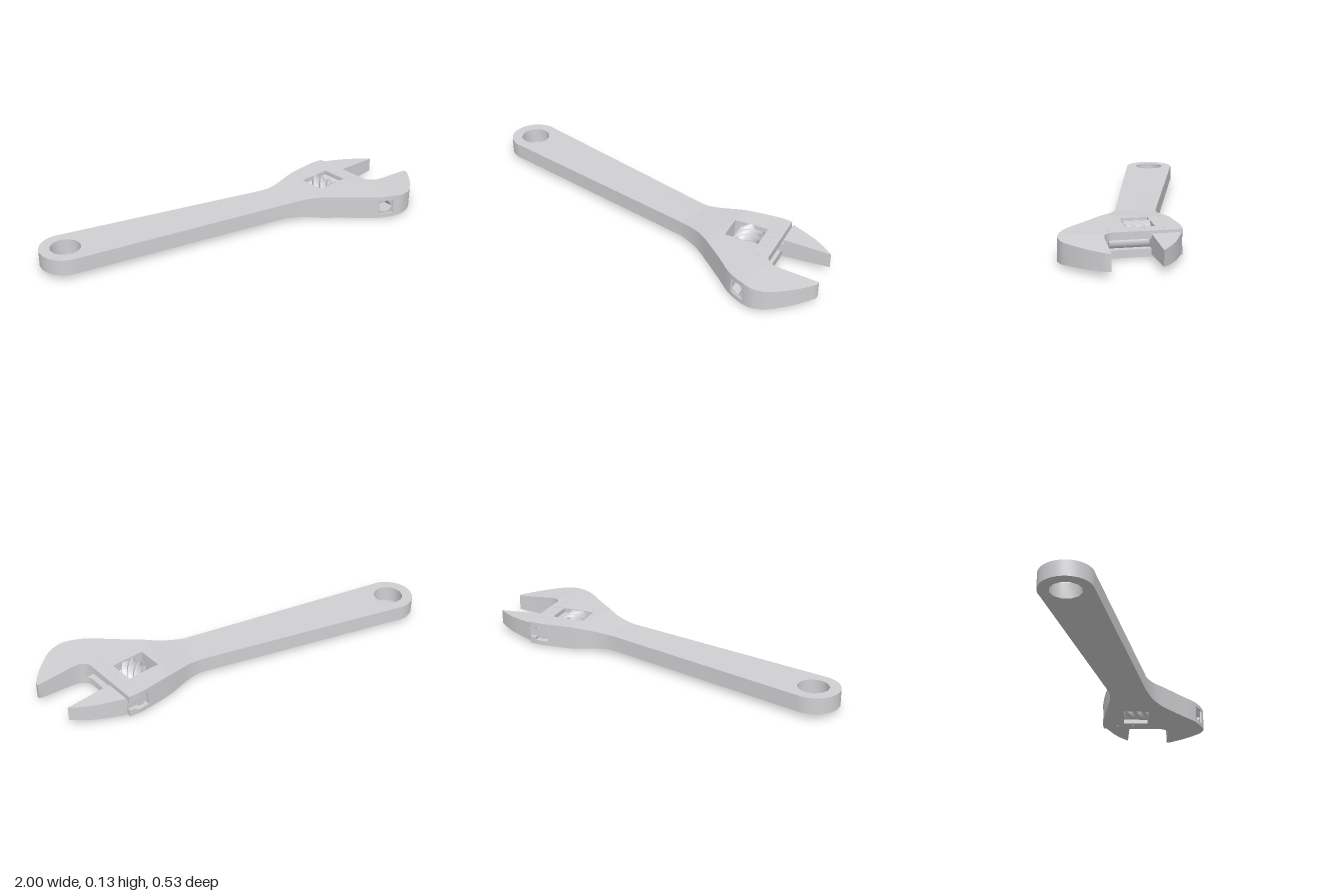
import * as THREE from 'three';
import { mergeGeometries, toCreasedNormals } from 'three/addons/utils/BufferGeometryUtils.js';

const MID = 0.066;                    // height of the middle plane
const TILT = 0.27;                    // the jaw slide is tilted in plan
const EX = 0.65, EZ = -0.265;         // rear corner of the slide edge
const C = Math.cos(TILT), S = Math.sin(TILT);
// plan coordinates relative to the slide: u runs along it, n points outward
const uOf = ([x, z]) => S * (x - EX) + C * (z - EZ);
const nOf = ([x, z]) => C * (x - EX) - S * (z - EZ);
const plan = (u, n) => [EX + S * u + C * n, EZ + C * u - S * n];

// smooth curve through plan points
const spline = (pts, n) =>
  new THREE.SplineCurve(pts.map(p => new THREE.Vector2(...p))).getPoints(n).map(p => [p.x, p.y]);

// keep the part of a polygon where f(point) >= 0
function clip(poly, f) {
  const out = [];
  poly.forEach((a, i) => {
    const b = poly[(i + 1) % poly.length], fa = f(a), fb = f(b);
    if (fa >= 0) out.push(a);
    if (fa * fb < 0) {
      const t = fa / (fa - fb);
      out.push([a[0] + (b[0] - a[0]) * t, a[1] + (b[1] - a[1]) * t]);
    }
  });
  return out;
}
const cut = (poly, ...tests) => tests.reduce(clip, poly);

// half thickness of the body along its length
function half(x) {
  const mix = (a, b, t) => a + (b - a) * Math.min(1, Math.max(0, t));
  return x < 0.6 ? mix(0.039, 0.058, (x - 0.25) / 0.18) : mix(0.058, 0.039, (x - 0.76) / 0.24);
}

// upright slab from a plan polygon, between relative heights t0 and t1 (-1 to 1)
function slab(poly, t0 = -1, t1 = 1, holes = [], thick = half) {
  const toV = p => new THREE.Vector2(p[0], -p[1]);
  const shape = new THREE.Shape(poly.map(toV));
  // holes wind opposite to the outline so their walls face inward
  holes.forEach(h => shape.holes.push(new THREE.Path(h.map(toV).reverse())));
  const g = new THREE.ExtrudeGeometry(shape, { depth: 1, bevelEnabled: false });
  g.rotateX(-Math.PI / 2);
  const p = g.attributes.position;
  for (let i = 0; i < p.count; i++) {
    const t = t0 + (t1 - t0) * p.getY(i);
    p.setY(i, MID + t * thick(p.getX(i)));
  }
  return g;
}

export function createModel() {
  const group = new THREE.Group();
  group.name = 'adjustableWrench';
  const steel = new THREE.MeshStandardMaterial({ color: 0xd0cfd2 });
  steel.name = 'steel';
  const add = (name, geo, parent = group) => {
    const m = new THREE.Mesh(geo, steel);
    m.name = name;
    parent.add(m);
    return m;
  };
  const solid = (name, parts) =>
    add(name, toCreasedNormals(mergeGeometries(parts), 0.6));

  // plan outline of the body
  const ring = (r, n, a0, a1) => Array.from({ length: n + 1 }, (_, i) => {
    const a = a0 + (a1 - a0) * i / n;
    return [-0.875 + r * Math.cos(a), -0.025 + r * Math.sin(a)];
  });
  const outline = [
    ...ring(0.125, 18, Math.PI * 0.45, Math.PI * 1.55),
    ...spline([[0.2, -0.122], [0.25, -0.126], [0.31, -0.143], [0.40, -0.185], [0.51, -0.228],
      [0.59, -0.255], [EX, EZ]], 18),
    ...spline([plan(0.31, 0), [0.745, 0.05], [0.775, 0.066], [0.82, 0.061]], 8),
    [0.997, 0.015],
    ...spline([[1.0, 0.035], [0.955, 0.125], [0.885, 0.222], [0.84, 0.254], [0.79, 0.267],
      [0.68, 0.247], [0.565, 0.187], [0.40, 0.105], [0.32, 0.08], [0.24, 0.07]], 30),
  ];

  // handle with hanging hole, and the thickening neck
  const hole = ring(0.074, 12, 0, Math.PI * 2).slice(0, -1);
  solid('handle', [
    slab(cut(outline, p => 0.25 - p[0]), -1, 1, [hole]),
    slab(cut(outline, p => p[0] - 0.25, p => 0.43 - p[0])),
  ]);

  // head: two cheek plates with a window, and a core cut away for the jaw slide
  const head = cut(outline, p => p[0] - 0.43, p => 0.76 - p[0]);
  const U0 = 0.108, U1 = 0.238, N0 = -0.248, N1 = -0.08, CH0 = -0.105, CH1 = -0.035, T = 0.62;
  const window = [plan(U0, N0), plan(U0, N1), plan(U1, N1), plan(U1, N0)];
  const core = [
    [p => N0 - nOf(p)],
    [p => nOf(p) - N0, p => CH0 - nOf(p), p => U0 - uOf(p)],
    [p => nOf(p) - N0, p => CH0 - nOf(p), p => uOf(p) - U1],
    [p => nOf(p) - CH1, p => uOf(p) - 0.335],
  ];
  // lips that narrow the slot along the slide edge
  const lip = cut(head, p => nOf(p) - CH1, p => 0.335 - uOf(p));
  solid('head', [
    slab(head, -1, -T, [window]),
    slab(head, T, 1, [window]),
    ...core.map(tests => slab(cut(head, ...tests), -T, T)),
    slab(lip, -T, -0.38),
    slab(lip, 0.38, T),
  ]);
  solid('fixedJaw', [slab(cut(outline, p => p[0] - 0.76))]);

  // sliding jaw, thinner toward its tip
  const jaw = [plan(0.008, 0.01), [0.73, -0.251], [0.80, -0.24], [0.86, -0.221],
    [0.92, -0.195], plan(0.142, 0.01)];
  solid('slidingJaw', [slab(jaw, -1, 1, [], x => 0.048 - 0.048 * (x - 0.67))]);

  // parts aligned with the slide
  const slide = new THREE.Group();
  slide.name = 'slideParts';
  slide.position.set(EX, MID, EZ);
  slide.rotation.y = TILT;
  group.add(slide);

  add('jawWeb', new THREE.BoxGeometry(0.08, 0.04, 0.13), slide).position.set(-0.02, 0, 0.077);
  const rail = add('jawRail', new THREE.CylinderGeometry(0.033, 0.033, 0.31, 20), slide);
  rail.rotation.x = Math.PI / 2;
  rail.position.set(-0.07, 0, 0.165);

  // five-sided bore where the slide channel leaves the front of the head
  const bore = new THREE.Shape([[-0.035, -0.036], [-0.035, 0.036], [0.035, 0.036], [0.035, -0.036]]
    .map(p => new THREE.Vector2(...p)));
  bore.holes.push(new THREE.Path(Array.from({ length: 5 }, (_, i) => {
    const a = i * Math.PI * 0.4;
    return new THREE.Vector2(0.034 * Math.cos(a), 0.034 * Math.sin(a));
  })));
  const boreGeo = new THREE.ExtrudeGeometry(bore, { depth: 1, bevelEnabled: false });
  const bp = boreGeo.attributes.position;
  for (let i = 0; i < bp.count; i++) {
    // the outer end follows the slant of the head's front face
    bp.setZ(i, bp.getZ(i) ? 0.515 + 0.47 * bp.getX(i) : 0.38);
  }
  add('boreCollar', boreGeo, slide).position.x = -0.07;

  // knurled adjusting worm with slanted ridges
  const wormGeo = new THREE.CylinderGeometry(1, 1, 0.118, 60, 16);
  const p = wormGeo.attributes.position;
  for (let i = 0; i < p.count; i++) {
    const x = p.getX(i), y = p.getY(i), z = p.getZ(i);
    if (Math.hypot(x, z) < 0.5) continue;
    const r = 0.057 + 0.008 * Math.sin(6 * Math.atan2(z, x) + y * 130);
    p.setXYZ(i, x * r, y, z * r);
  }
  const worm = add('adjustingWorm', toCreasedNormals(wormGeo, 0.6), slide);
  worm.rotation.x = Math.PI / 2;
  worm.position.set(-0.164, 0, 0.173);
  const pin = add('wormPin', new THREE.CylinderGeometry(0.016, 0.016, 0.134, 12), slide);
  pin.rotation.x = Math.PI / 2;
  pin.position.copy(worm.position);

  // small raised scale ticks on both cheeks
  for (const side of [-1, 1]) {
    for (const u of [0.075, 0.16, 0.235, 0.318]) {
      add('scaleTick', new THREE.BoxGeometry(0.018, 0.003, 0.008), slide)
        .position.set(-0.045, side * 0.058, u);
    }
  }
  return group;
}
